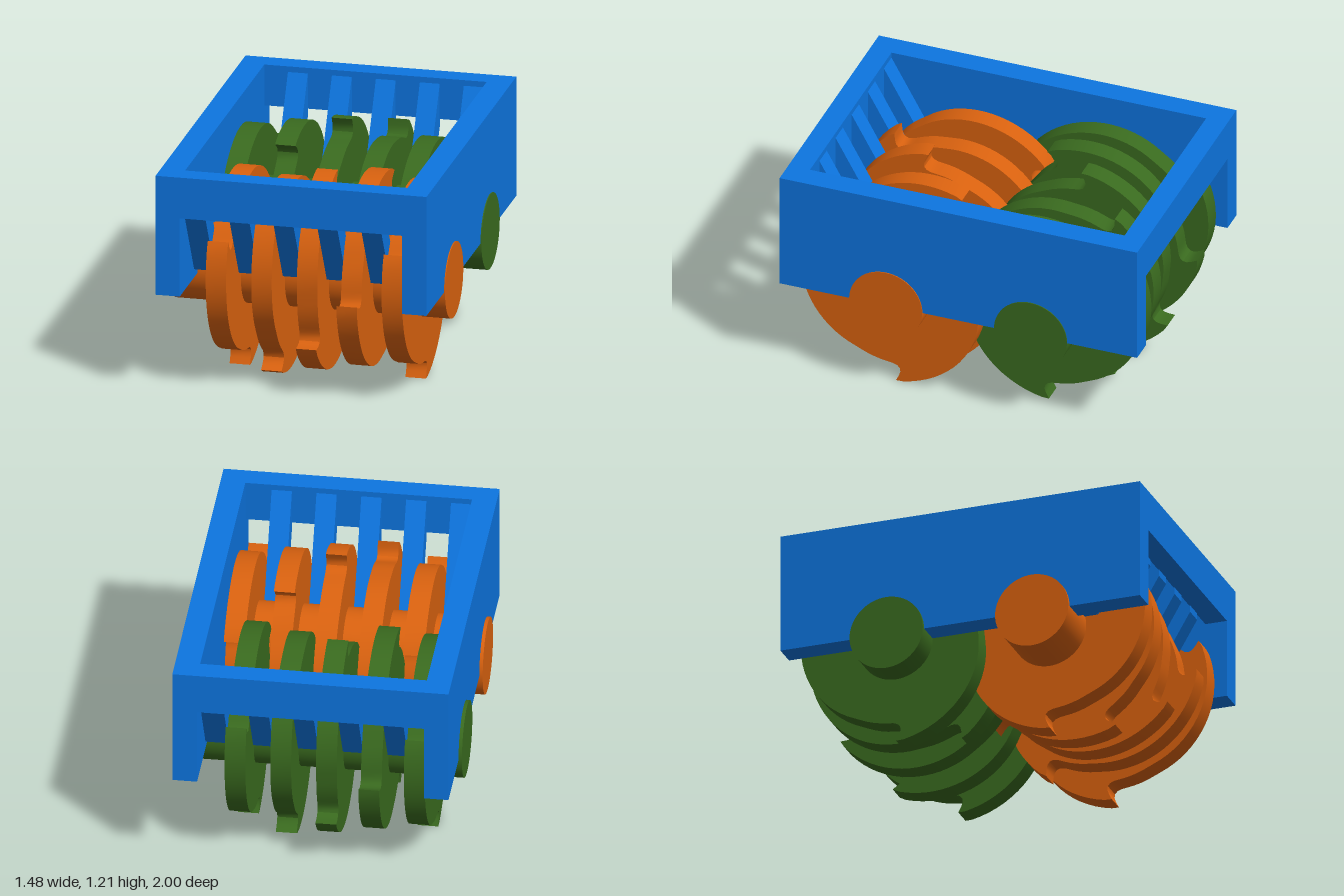
import * as THREE from 'three';
import { toCreasedNormals } from 'three/addons/utils/BufferGeometryUtils.js';

const BLUE = new THREE.MeshStandardMaterial({ color: 0x0d75e0 });
const ORANGE = new THREE.MeshStandardMaterial({ color: 0xda620f });
const GREEN = new THREE.MeshStandardMaterial({ color: 0x3a6b1f });

const AXLE_Y = 0.567, AXLE_Z = 0.405;
const PITCH = 0.2365, THICK = 0.11;
const rad = THREE.MathUtils.degToRad;

function add(parent, name, geometry, material) {
  const mesh = new THREE.Mesh(geometry, material);
  mesh.name = name;
  parent.add(mesh);
  return mesh;
}

// Box from minimum and maximum corners
function boxBetween(parent, name, min, max, material) {
  const size = max.map((v, i) => v - min[i]);
  const mesh = add(parent, name, new THREE.BoxGeometry(...size), material);
  mesh.position.set(...max.map((v, i) => (v + min[i]) / 2));
}

// Extrude a [z, y] outline along +x
function extrudeX(points, depth) {
  const shape = new THREE.Shape(points.map(([z, y]) => new THREE.Vector2(-z, y)));
  const geometry = new THREE.ExtrudeGeometry(shape, { depth, bevelEnabled: false });
  return toCreasedNormals(geometry.rotateY(Math.PI / 2), rad(30));
}

// Cutter disc: three spiral flanks, each ending in a hooked tooth
function cutterGeometry() {
  const points = [];
  const put = (deg, r) => points.push([r * Math.cos(rad(deg)), -r * Math.sin(rad(deg))]);
  for (let tooth = 0; tooth < 3; tooth++) {
    const start = tooth * 120;
    put(start, 0.558);
    for (let a = 4; a <= 114; a += 5) put(start + a, Math.max(0.453, 0.563 - 0.0012 * a));
    // Rounded undercut behind the tooth tip
    for (const [a, r] of [[118, 0.455], [121, 0.464], [122.6, 0.48], [122.8, 0.5], [121.8, 0.525]]) {
      put(start + a, r);
    }
  }
  return extrudeX(points, THICK);
}

// One axle with five cutters, each turned 30 degrees from its neighbour
function makeRotor(name, material) {
  const rotor = new THREE.Group();
  rotor.name = name;
  const axle = add(rotor, 'axle', new THREE.CylinderGeometry(0.204, 0.204, 1.48, 64), material);
  axle.rotation.z = Math.PI / 2;
  axle.position.set(0, AXLE_Y, AXLE_Z);
  const cutter = cutterGeometry();
  for (let i = 0; i < 5; i++) {
    const disc = add(rotor, 'cutterDisc', cutter, material);
    disc.position.set(-0.468 + i * PITCH, AXLE_Y, AXLE_Z);
    disc.rotation.x = rad(90 - 30 * i);
  }
  return rotor;
}

// Sloping scraper bars that reach between the cutters down to the axle
function makeComb(name) {
  const comb = new THREE.Group();
  comb.name = name;
  const outline = [[0.885, 1.2], [0.555, 0.61], [0.68, 0.61], [0.885, 0.96]];
  for (let i = 0; i < 5; i++) {
    const extra = i === 0 ? 0.015 : 0;
    const bar = add(comb, 'scraperBar', extrudeX(outline, 0.107 + extra), BLUE);
    bar.position.x = -0.588 + i * PITCH - extra;
  }
  return comb;
}

export function createModel() {
  const model = new THREE.Group();
  model.name = 'shredder';

  // Open frame: full side walls, shallow end walls above the cutters
  const frame = new THREE.Group();
  frame.name = 'frame';
  boxBetween(frame, 'rightWall', [-0.722, 0.565, -1], [-0.592, 1.222, 1], BLUE);
  boxBetween(frame, 'leftWall', [0.604, 0.565, -1], [0.735, 1.222, 1], BLUE);
  boxBetween(frame, 'frontWall', [-0.592, 0.997, 0.88], [0.604, 1.222, 1], BLUE);
  boxBetween(frame, 'backWall', [-0.592, 0.997, -1], [0.604, 1.222, -0.88], BLUE);
  model.add(frame);

  // The rear rotor and comb are the front ones turned half way round
  const backRotor = makeRotor('backRotor', GREEN);
  const backComb = makeComb('backComb');
  backRotor.rotation.y = backComb.rotation.y = Math.PI;
  model.add(makeRotor('frontRotor', ORANGE), backRotor, makeComb('frontComb'), backComb);
  return model;
}
